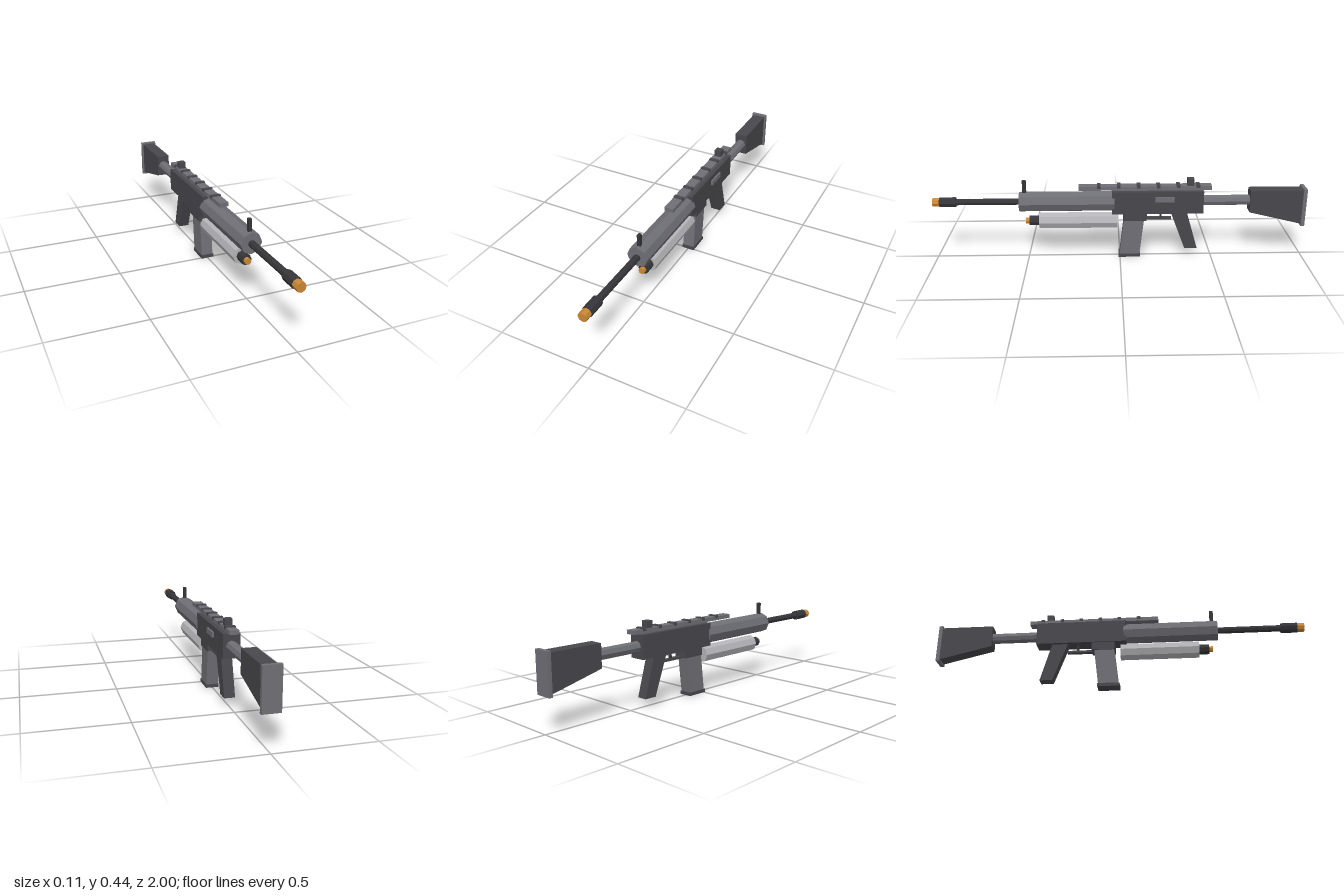
import * as THREE from 'three';

const mat = (name, color) => {
  const m = new THREE.MeshStandardMaterial({ color, flatShading: true });
  m.name = name;
  return m;
};

export function createModel() {
  const group = new THREE.Group();
  const dark = mat('dark gunmetal', 0x48474c);
  const black = mat('blackened steel', 0x36363a);
  const mid = mat('mid grey', 0x6e6e75);
  const light = mat('light grey', 0xb4b4b8);
  const orange = mat('orange', 0xcb8834);

  const add = (name, geometry, material) => {
    const mesh = new THREE.Mesh(geometry, material);
    mesh.name = name;
    group.add(mesh);
    return mesh;
  };
  // Box given by its limits on each axis
  const box = (name, material, [x0, x1], [y0, y1], [z0, z1]) => {
    const g = new THREE.BoxGeometry(x1 - x0, y1 - y0, z1 - z0);
    g.translate((x0 + x1) / 2, (y0 + y1) / 2, (z0 + z1) / 2);
    return add(name, g, material);
  };
  // Octagonal tube lying along z
  const tube = (name, material, r, y, z0, z1) => {
    const g = new THREE.CylinderGeometry(r, r, z1 - z0, 8);
    g.rotateX(Math.PI / 2).translate(0, y, (z0 + z1) / 2);
    return add(name, g, material);
  };
  // Side outline of [z, y] points, extruded across the width
  const slab = (name, material, halfWidth, points) => {
    const shape = new THREE.Shape(points.map(([z, y]) => new THREE.Vector2(-z, y)));
    const g = new THREE.ExtrudeGeometry(shape, { depth: halfWidth * 2, bevelEnabled: false });
    g.translate(0, 0, -halfWidth).rotateY(Math.PI / 2);
    return add(name, g, material);
  };

  // Receiver and ejection port
  box('receiver', dark, [-0.044, 0.044], [0.256, 0.38], [-0.447, 0.043]);
  box('ejectionPort', mid, [0.043, 0.054], [0.325, 0.353], [-0.29, -0.187]);

  // Handguard and barrel
  const axis = 0.317;
  tube('handguard', mid, 0.056, axis, 0.03, 0.538);
  tube('barrel', black, 0.018, axis, 0.53, 0.89);
  tube('muzzleBrake', black, 0.028, axis, 0.878, 0.963);
  tube('muzzleTip', orange, 0.025, axis, 0.95, 1.0);

  // Underbarrel tube
  tube('underTube', light, 0.046, 0.207, 0.013, 0.435);
  tube('underTubeCollar', black, 0.028, 0.207, 0.43, 0.488);
  tube('underTubeTip', orange, 0.017, 0.207, 0.48, 0.508);

  // Top rail with cross ridges
  box('rail', mid, [-0.025, 0.025], [0.384, 0.405], [-0.49, 0.22]);
  box('railMount', mid, [-0.02, 0.02], [0.37, 0.39], [-0.44, 0.04]);
  for (let i = 0; i < 6; i++) {
    const z = 0.112 - i * 0.106;
    box('railRidge', dark, [-0.026, 0.026], [0.395, 0.411], [z - 0.01, z + 0.01]);
  }

  // Sights
  box('rearSight', dark, [-0.019, 0.019], [0.4, 0.441], [-0.396, -0.36]);
  box('frontSight', black, [-0.008, 0.008], [0.36, 0.435], [0.5, 0.52]);

  // Stock
  tube('bufferTube', mid, 0.029, axis, -0.71, -0.44);
  slab('stock', dark, 0.036, [[-0.698, 0.378], [-0.698, 0.257], [-0.982, 0.188], [-0.982, 0.378]]);
  box('buttPlate', mid, [-0.045, 0.045], [0.177, 0.387], [-1.0, -0.98]);

  // Magazine
  box('magazineWell', dark, [-0.038, 0.038], [0.213, 0.26], [-0.144, -0.018]);
  slab('magazine', mid, 0.032, [[-0.022, 0.22], [0.002, 0.012], [-0.106, 0.012], [-0.13, 0.22]]);
  box('magazineBase', dark, [-0.035, 0.035], [0, 0.018], [-0.11, 0.008]);

  // Grip, trigger and guard
  slab('grip', dark, 0.028, [[-0.273, 0.26], [-0.353, 0.047], [-0.422, 0.047], [-0.36, 0.26]]);
  box('triggerGuard', dark, [-0.012, 0.012], [0.21, 0.222], [-0.278, -0.13]);
  box('trigger', black, [-0.006, 0.006], [0.216, 0.26], [-0.227, -0.215]);

  return group;
}
